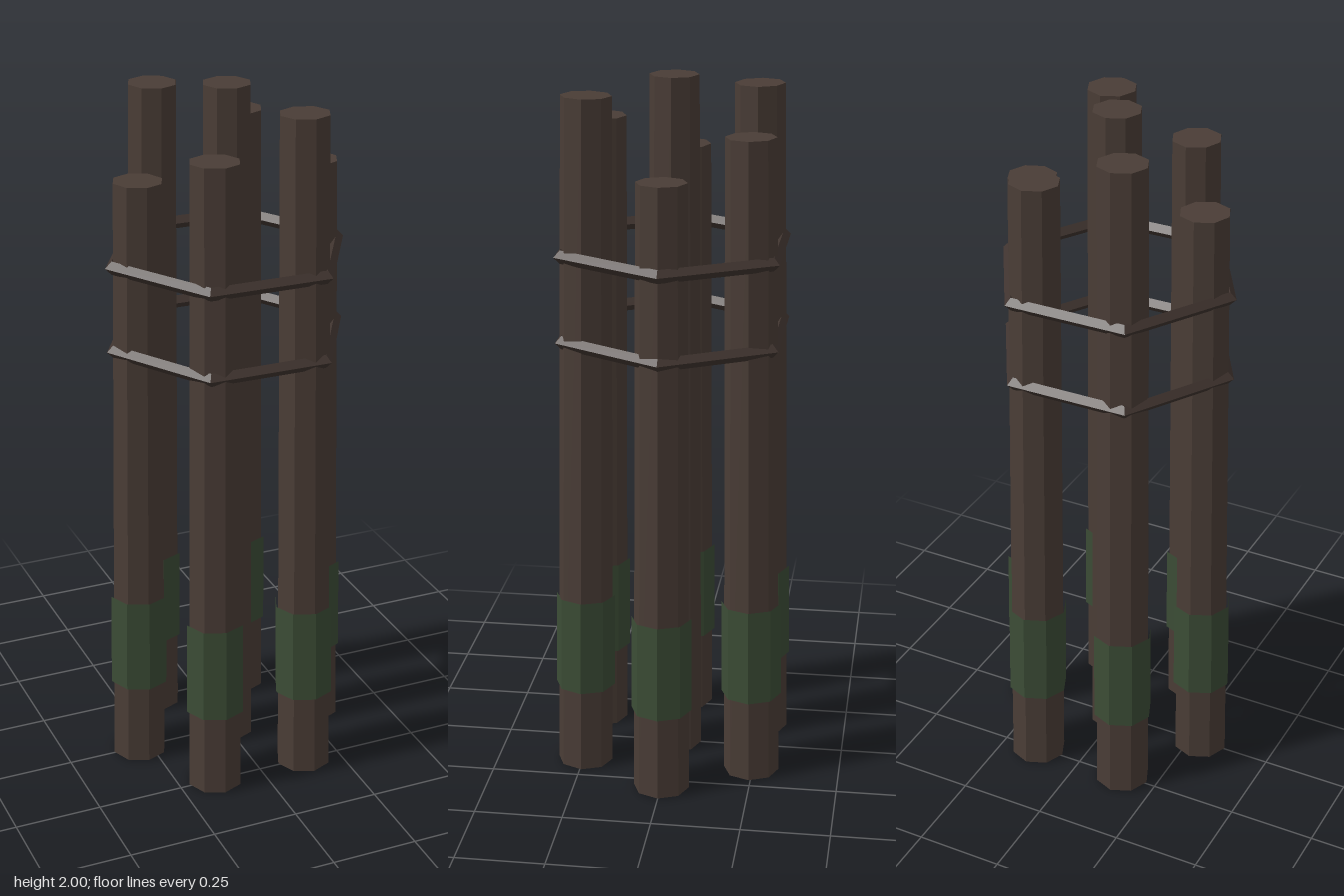
import * as THREE from 'three';

export function createModel() {
  const model = new THREE.Group();
  const mat = (name, color) => {
    const m = new THREE.MeshStandardMaterial({ color, flatShading: true });
    m.name = name;
    return m;
  };
  const wood = mat('weathered wood', 0x4a3d36);
  const weed = mat('algae green', 0x3c4d36);
  const binding = mat('dark binding', 0x40342f);

  const add = (parent, name, geometry, material, y) => {
    const mesh = new THREE.Mesh(geometry, material);
    mesh.name = name;
    mesh.position.y = y;
    parent.add(mesh);
    return mesh;
  };
  const post = (height, topRadius) => new THREE.CylinderGeometry(topRadius, 0.08, height, 8);

  // Upright centre pile
  add(model, 'centrePile', post(2, 0.068), wood, 1);

  // Six outer piles leaning inward, each with an open algae band
  const heights = [1.76, 1.96, 1.86];
  const baseRadius = 0.283, lean = 0.0145;
  for (let i = 0; i < 6; i++) {
    const a = (i * Math.PI) / 3;
    const out = new THREE.Vector3(Math.cos(a), 0, Math.sin(a));
    const h = heights[i % 3];
    const pile = new THREE.Group();
    pile.name = 'outerPile' + (i + 1);
    add(pile, 'pileShaft', post(h, 0.07), wood, h / 2);
    add(pile, 'algaeBand', new THREE.CylinderGeometry(0.085, 0.086, 0.28, 8, 1, true), weed, 0.385);
    pile.position.copy(out).multiplyScalar(baseRadius);
    const axis = new THREE.Vector3(-out.x * lean, 1, -out.z * lean).normalize();
    pile.quaternion.setFromUnitVectors(new THREE.Vector3(0, 1, 0), axis);
    model.add(pile);
  }

  // Two hexagonal bindings around the cluster
  for (const y of [1.283, 1.525]) {
    const ring = new THREE.TorusGeometry(0.336, 0.019, 4, 6).rotateX(Math.PI / 2);
    add(model, 'bindingRing', ring, binding, y);
  }
  return model;
}
